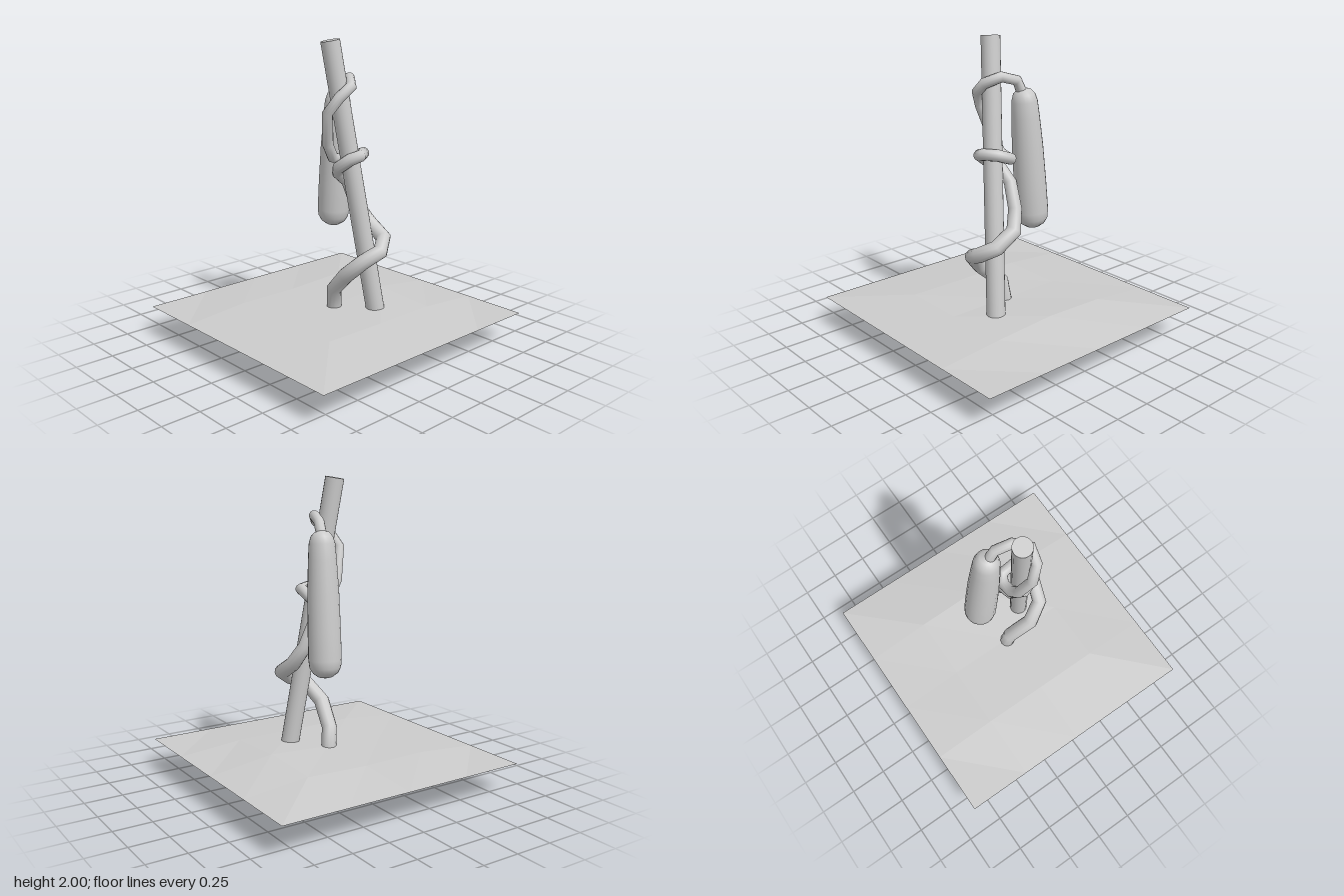
import * as THREE from 'three';

const V = (x, y, z) => new THREE.Vector3(x, y, z);
const grey = (opts = {}) => new THREE.MeshStandardMaterial({ color: 0xcccccc, ...opts });

// Straight-segment path, so the vine keeps its angular bends
class Polyline extends THREE.Curve {
  constructor(points) { super(); this.points = points; }
  getPoint(t) {
    const n = this.points.length - 1;
    const i = Math.min(Math.floor(t * n + 1e-6), n - 1);
    return this.points[i].clone().lerp(this.points[i + 1], t * n - i);
  }
  getPointAt(t) { return this.getPoint(t); }
  getTangentAt(t) {
    const d = 0.3 / (this.points.length - 1);
    return this.getPoint(Math.min(t + d, 1)).sub(this.getPoint(Math.max(t - d, 0))).normalize();
  }
}

// Tube with one ring per path point, each ring scaled to its own radius
function taperedTube(path, sides) {
  const points = path.map(([x, y, z]) => V(x, y, z));
  const geo = new THREE.TubeGeometry(new Polyline(points), points.length - 1, 1, sides, false);
  const pos = geo.attributes.position;
  const v = V(0, 0, 0);
  for (let i = 0; i < pos.count; i++) {
    const ring = Math.floor(i / (sides + 1));
    v.fromBufferAttribute(pos, i).sub(points[ring]).multiplyScalar(path[ring][3]).add(points[ring]);
    pos.setXYZ(i, v.x, v.y, v.z);
  }
  return geo;
}

// Stand an upright mesh along the line from bottom to top
function align(mesh, bottom, top, origin) {
  mesh.quaternion.setFromUnitVectors(V(0, 1, 0), top.clone().sub(bottom).normalize());
  mesh.position.copy(origin);
  return mesh;
}

export function createModel() {
  const model = new THREE.Group();
  const add = (name, mesh) => { mesh.name = name; model.add(mesh); return mesh; };

  // Low mound of soil: a 4 x 4 grid with raised inner points
  const soil = new THREE.PlaneGeometry(1.74, 1.74, 4, 4).rotateX(-Math.PI / 2);
  const rise = [0.035, 0.03, 0.045, 0.035, 0.035, 0.06, 0.04, 0.035, 0.035];
  const sp = soil.attributes.position;
  for (let i = 0; i < sp.count; i++) {
    const col = i % 5, row = Math.floor(i / 5);
    const inner = col > 0 && col < 4 && row > 0 && row < 4;
    sp.setY(i, 0.2 + (inner ? rise[(row - 1) * 3 + col - 1] : 0));
  }
  add('soil', new THREE.Mesh(soil, grey({ flatShading: true, side: THREE.DoubleSide })));

  // Leaning support stake
  const low = V(0.195, 0.008, 0.245), high = V(-0.082, 1.992, 0.052);
  const stake = new THREE.CylinderGeometry(0.061, 0.061, low.distanceTo(high), 20);
  add('stake', align(new THREE.Mesh(stake, grey()), low, high, low.clone().lerp(high, 0.5)));

  // Vine winding round the stake: x, y, z, radius
  const vine = [
    [-0.005, 0.22, 0.005, 0.05], [-0.02, 0.36, 0.02, 0.05], [-0.055, 0.5, 0.17, 0.052],
    [0.0, 0.61, 0.28, 0.05], [0.11, 0.66, 0.315, 0.05], [0.205, 0.72, 0.25, 0.05],
    [0.205, 0.8, 0.11, 0.05], [0.15, 0.92, 0.05, 0.045], [0.085, 1.08, 0.035, 0.042],
    [0.0, 1.15, 0.035, 0.04], [-0.055, 1.2, 0.1, 0.04], [-0.035, 1.26, 0.185, 0.04],
    [0.03, 1.28, 0.21, 0.038], [0.11, 1.28, 0.155, 0.038], [0.11, 1.24, 0.05, 0.037],
    [0.05, 1.225, 0.015, 0.036], [-0.03, 1.25, 0.02, 0.036], [-0.085, 1.34, 0.035, 0.035],
    [-0.14, 1.55, 0.09, 0.035], [-0.095, 1.65, 0.15, 0.035], [-0.01, 1.715, 0.165, 0.035],
    [0.055, 1.755, 0.08, 0.034], [0.085, 1.725, -0.02, 0.034], [0.09, 1.64, -0.06, 0.034],
  ];
  add('vine', new THREE.Mesh(taperedTube(vine, 12), grey({ side: THREE.DoubleSide })));

  // Hanging fruit, fuller towards its rounded lower end
  const tip = V(0.115, 0.745, -0.14), crown = V(0.095, 1.675, -0.066);
  const profile = [
    [0, 0], [0.045, 0.01], [0.08, 0.035], [0.1, 0.07], [0.106, 0.12], [0.105, 0.3],
    [0.1, 0.55], [0.09, 0.75], [0.083, 0.85], [0.07, 0.895], [0.045, 0.922], [0, 0.935],
  ].map(([r, y]) => new THREE.Vector2(r, y));
  add('fruit', align(new THREE.Mesh(new THREE.LatheGeometry(profile, 20), grey()), tip, crown, tip));

  return model;
}
